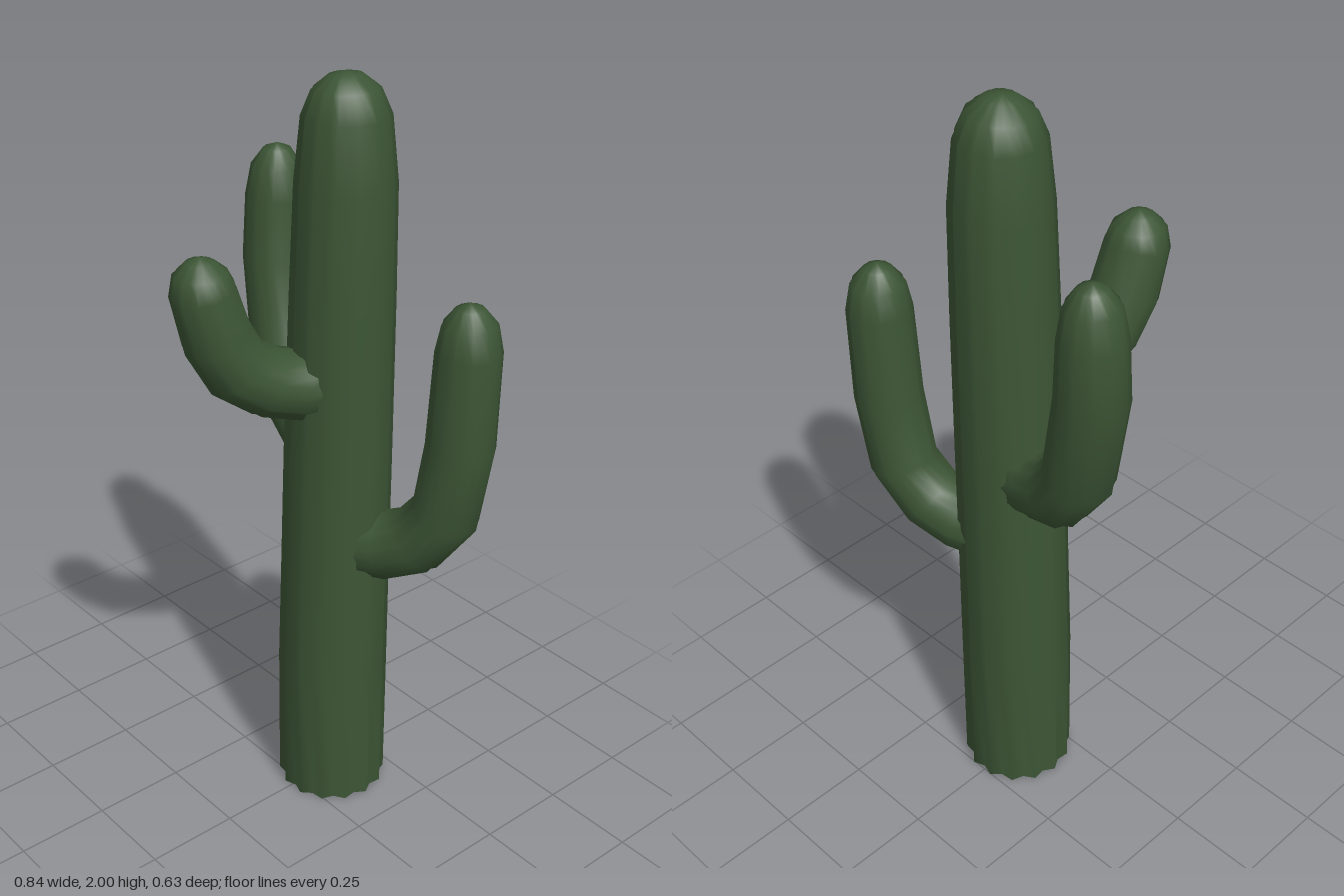
import * as THREE from 'three';

const green = new THREE.MeshStandardMaterial({ color: 0x3c5535 });
green.name = 'cactus green';

// Ribbed limb swept through stations [x, y, z, radius]; the last radius is 0 (rounded tip).
function limb(name, stations, side, ribs, depth) {
  const n = ribs * 2;
  const centers = stations.map(([x, y, z]) => new THREE.Vector3(x, y, z));
  const last = stations.length - 1;
  const pos = [], index = [];
  const ringPoint = (i, j) => {
    const t = centers[Math.min(i + 1, last)].clone().sub(centers[Math.max(i - 1, 0)]).normalize();
    if (i === 0 && name === 'trunk') t.set(0, 1, 0);
    const a = side.clone().addScaledVector(t, -side.dot(t)).normalize();
    const b = t.clone().cross(a);
    const angle = (j / n) * Math.PI * 2;
    const fade = 1 - 0.5 * i / last;              // ribs soften towards the tip
    const r = stations[i][3] * (j % 2 ? 1 - depth * fade : 1 + depth * 0.3 * fade);
    return centers[i].clone()
      .addScaledVector(a, r * Math.cos(angle))
      .addScaledVector(b, r * Math.sin(angle));
  };
  for (let i = 0; i <= last; i++)
    for (let j = 0; j < n; j++) pos.push(...ringPoint(i, j).toArray());
  for (let i = 0; i < last; i++)
    for (let j = 0; j < n; j++) {
      const k = (j + 1) % n;
      const p = i * n + j, q = i * n + k;
      index.push(p, q, p + n);
      if (i < last - 1) index.push(q, q + n, p + n);
    }
  // Flat closing cap at the start, with its own vertices
  const c = pos.length / 3;
  pos.push(...centers[0].toArray());
  for (let j = 0; j < n; j++) {
    pos.push(...ringPoint(0, j).toArray());
    index.push(c, c + 1 + (j + 1) % n, c + 1 + j);
  }
  const geo = new THREE.BufferGeometry();
  geo.setAttribute('position', new THREE.Float32BufferAttribute(pos, 3));
  geo.setIndex(index);
  geo.computeVertexNormals();
  // Point the tip's normals along the limb so that the dome stays smooth
  const tip = centers[last].clone().sub(centers[last - 1]).normalize();
  for (let j = 0; j < n; j++) geo.attributes.normal.setXYZ(last * n + j, tip.x, tip.y, tip.z);
  const mesh = new THREE.Mesh(geo, green);
  mesh.name = name;
  return mesh;
}

// An arm bends within a vertical plane; its sideways axis is level and square to that plane.
function arm(name, stations) {
  const [a, b] = [stations[0], stations[stations.length - 1]];
  const side = new THREE.Vector3(b[2] - a[2], 0, a[0] - b[0]).normalize();
  return limb(name, stations, side, 12, 0.07);
}

export function createModel() {
  const group = new THREE.Group();
  group.name = 'cactus';

  group.add(limb('trunk', [
    [0.008, 0, -0.11, 0.143],
    [0.008, 0.4, -0.11, 0.143],
    [0.012, 0.7, -0.111, 0.139],
    [0.016, 1.05, -0.113, 0.135],
    [0.023, 1.45, -0.115, 0.128],
    [0.027, 1.74, -0.117, 0.121],
    [0.026, 1.9, -0.117, 0.105],
    [0.023, 1.96, -0.117, 0.08],
    [0.021, 1.992, -0.117, 0.04],
    [0.02, 2.0, -0.117, 0],
  ], new THREE.Vector3(1, 0, 0), 14, 0.08));

  group.add(arm('rightArm', [
    [0, 1.03, -0.115, 0.09],
    [-0.12, 1.04, -0.143, 0.089],
    [-0.205, 1.075, -0.164, 0.088],
    [-0.283, 1.18, -0.183, 0.087],
    [-0.335, 1.43, -0.2, 0.086],
    [-0.336, 1.59, -0.203, 0.079],
    [-0.335, 1.67, -0.204, 0.065],
    [-0.334, 1.713, -0.205, 0.035],
    [-0.334, 1.727, -0.205, 0],
  ]));

  group.add(arm('leftArm', [
    [0.03, 0.78, -0.115, 0.09],
    [0.15, 0.79, -0.162, 0.089],
    [0.23, 0.83, -0.194, 0.088],
    [0.3, 0.93, -0.222, 0.087],
    [0.328, 1.13, -0.233, 0.086],
    [0.335, 1.38, -0.237, 0.081],
    [0.335, 1.45, -0.236, 0.067],
    [0.334, 1.49, -0.235, 0.035],
    [0.334, 1.504, -0.235, 0],
  ]));

  group.add(arm('frontArm', [
    [0.012, 1.235, -0.1, 0.09],
    [-0.012, 1.24, 0, 0.089],
    [-0.031, 1.265, 0.08, 0.088],
    [-0.048, 1.32, 0.157, 0.087],
    [-0.06, 1.41, 0.205, 0.086],
    [-0.067, 1.53, 0.237, 0.08],
    [-0.068, 1.575, 0.24, 0.066],
    [-0.068, 1.604, 0.24, 0.035],
    [-0.068, 1.617, 0.24, 0],
  ]));

  return group;
}
